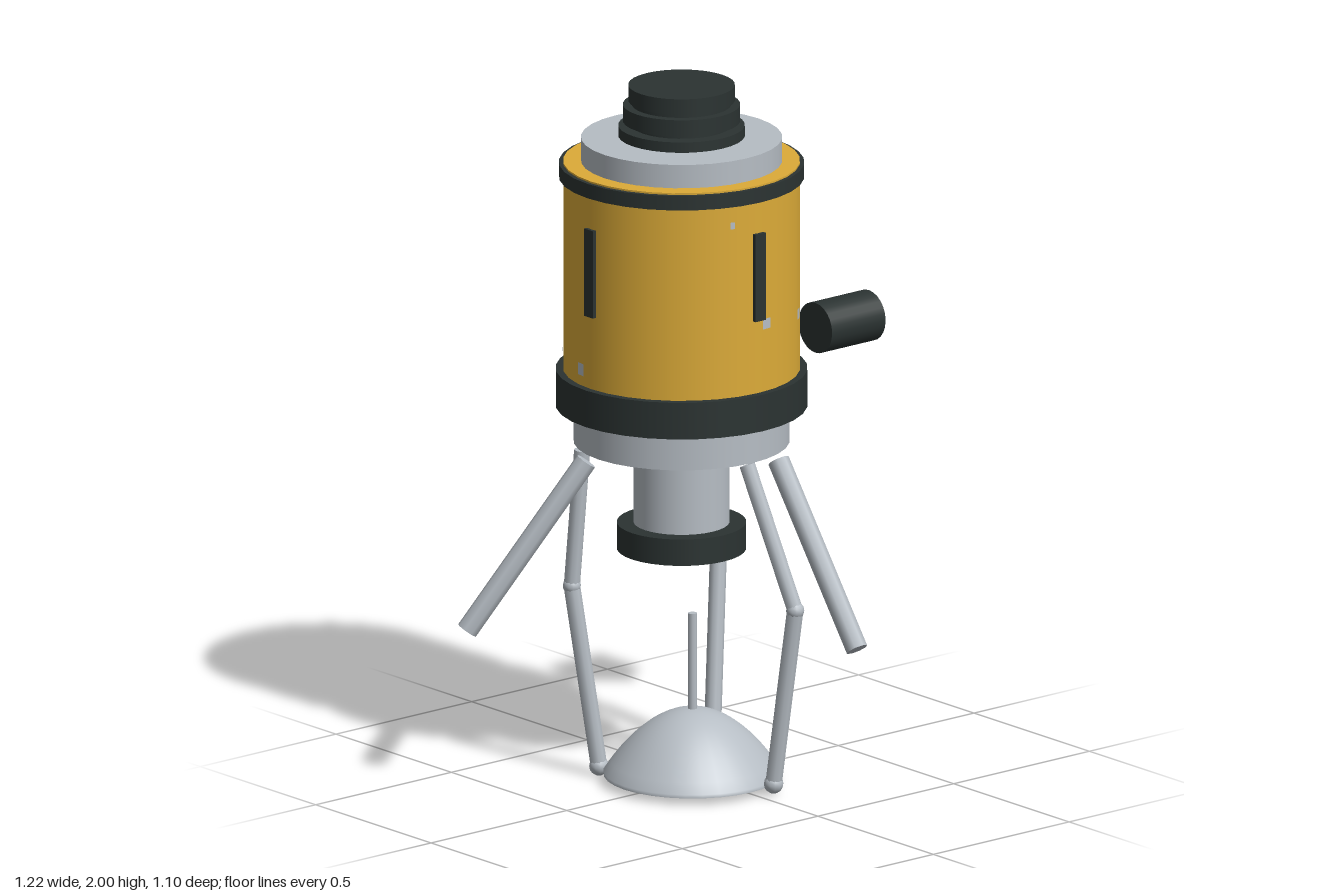
import * as THREE from 'three';

const mat = (name, color, side = THREE.FrontSide) =>
  Object.assign(new THREE.MeshStandardMaterial({ color, side }), { name });

export function createModel() {
  const model = new THREE.Group();
  model.name = 'lander';
  const yellow = mat('yellow paint', 0xdcab38);
  const grey = mat('light metal', 0xb6bdc4);
  const greyShell = mat('light metal', 0xb6bdc4, THREE.DoubleSide);
  const dark = mat('dark rubber', 0x2b3332);
  const tan = mat('tan bulb', 0xc9b48e);
  const V = (x, y, z) => new THREE.Vector3(x, y, z);
  const UP = V(0, 1, 0);

  const add = (parent, name, geometry, material) => {
    const mesh = new THREE.Mesh(geometry, material);
    mesh.name = name;
    parent.add(mesh);
    return mesh;
  };

  // Everything on the main axis hangs on this group
  const capsule = new THREE.Group();
  capsule.name = 'capsule';
  capsule.position.set(0.018, 0, -0.112);
  model.add(capsule);

  // Stacked drums: name, radius, bottom, top, material
  const drums = [
    ['bottomPad', 0.182, 0.645, 0.722, dark],
    ['neck', 0.135, 0.7, 0.97, grey],
    ['lowerDisc', 0.304, 0.96, 1.07, grey],
    ['lowerBand', 0.354, 1.065, 1.172, dark],
    ['hull', 0.333, 1.165, 1.779, yellow],
    ['upperBand', 0.345, 1.732, 1.774, dark],
    ['upperDisc', 0.283, 1.775, 1.847, grey],
    ['hatchCore', 0.14, 1.84, 1.97, dark],
    ['hatchRingLow', 0.178, 1.852, 1.882, dark],
    ['hatchRingMid', 0.165, 1.895, 1.943, dark],
    ['hatchRingTop', 0.15, 1.955, 2.0, dark],
  ];
  for (const [name, r, y0, y1, m] of drums)
    add(capsule, name, new THREE.CylinderGeometry(r, r, y1 - y0, 32), m).position.y = (y0 + y1) / 2;

  // Four window slots around the hull
  for (let i = 0; i < 4; i++) {
    const a = i * Math.PI / 2;
    const slot = add(capsule, 'slot', new THREE.BoxGeometry(0.038, 0.255, 0.03), dark);
    slot.position.set(0.328 * Math.sin(a), 1.512, 0.328 * Math.cos(a));
    slot.rotation.y = a;
  }

  // Paint chips: angle in degrees, height, width, length
  const chips = [
    [51, 1.47, 0.03, 0.035], [5, 1.37, 0.03, 0.03], [38, 1.35, 0.025, 0.03],
    [-15, 1.675, 0.015, 0.02], [85, 1.38, 0.03, 0.04], [111, 1.48, 0.06, 0.02],
    [74, 1.56, 0.025, 0.025], [118, 1.29, 0.02, 0.03], [217, 1.24, 0.025, 0.015],
    [262, 1.22, 0.03, 0.035], [228, 1.22, 0.025, 0.012], [216, 1.62, 0.025, 0.012],
  ];
  for (const [deg, y, w, h] of chips) {
    const span = w / 0.336;
    add(capsule, 'paintChip', new THREE.CylinderGeometry(0.3355, 0.3355, h, 3, 1, true,
      THREE.MathUtils.degToRad(deg) - span / 2, span), greyShell).position.y = y;
  }

  // Rod between two points
  const rod = (parent, name, a, b, r, sides = 10) => {
    const mesh = add(parent, name, new THREE.CylinderGeometry(r, r, a.distanceTo(b), sides), grey);
    mesh.position.copy(a).lerp(b, 0.5);
    mesh.quaternion.setFromUnitVectors(UP, b.clone().sub(a).normalize());
    return mesh;
  };

  // Three splayed struts
  for (let i = 0; i < 3; i++) {
    const turn = i * Math.PI * 2 / 3;
    rod(capsule, 'strut', V(0.109, 0.945, 0.292).applyAxisAngle(UP, turn),
      V(0.109, 0.468, 0.632).applyAxisAngle(UP, turn), 0.031, 8);
  }

  // Three jointed legs: hip, knee, foot
  const legs = [
    [V(0.02, 0.95, 0.17), V(0.065, 0.55, 0.325), V(0.045, 0.032, 0.255)],
    [V(-0.235, 0.95, -0.245), V(-0.25, 0.55, -0.272), V(-0.203, 0.028, -0.21)],
    [V(0.265, 0.95, -0.25), V(0.258, 0.55, -0.235), V(0.18, 0.028, -0.17)],
  ];
  for (const [hip, knee, foot] of legs) {
    const leg = new THREE.Group();
    leg.name = 'leg';
    model.add(leg);
    rod(leg, 'upperLeg', hip, knee, 0.023);
    rod(leg, 'lowerLeg', knee, foot, 0.024);
    add(leg, 'kneeJoint', new THREE.SphereGeometry(0.026, 12, 8), grey).position.copy(knee);
    add(leg, 'footBall', new THREE.SphereGeometry(0.028, 12, 8), grey).position.copy(foot);
  }

  // Upturned dish with its mast and inner bulb
  const dish = new THREE.Group();
  dish.name = 'dish';
  dish.position.x = -0.037;
  model.add(dish);
  const profile = [];
  for (let i = 0; i <= 12; i++) {
    const t = i / 12;
    profile.push(new THREE.Vector2(0.25 * t, 0.212 - 0.182 * t * t));
  }
  profile.push(new THREE.Vector2(0.25, 0.02));
  add(dish, 'dishShell', new THREE.LatheGeometry(profile.reverse(), 32), greyShell);
  rod(dish, 'mast', V(0, 0.19, 0), V(0, 0.49, 0), 0.013);
  add(dish, 'bulb', new THREE.SphereGeometry(0.042, 16, 12), tan).position.y = 0.11;

  // Side lamp: dark barrel with a light lens on its outer end
  const lamp = add(model, 'sideLamp', new THREE.CylinderGeometry(0.073, 0.073, 0.197, 24),
    [dark, dark, grey]);
  lamp.rotation.z = Math.PI / 2;
  lamp.position.set(0.514, 1.238, 0);

  return model;
}
